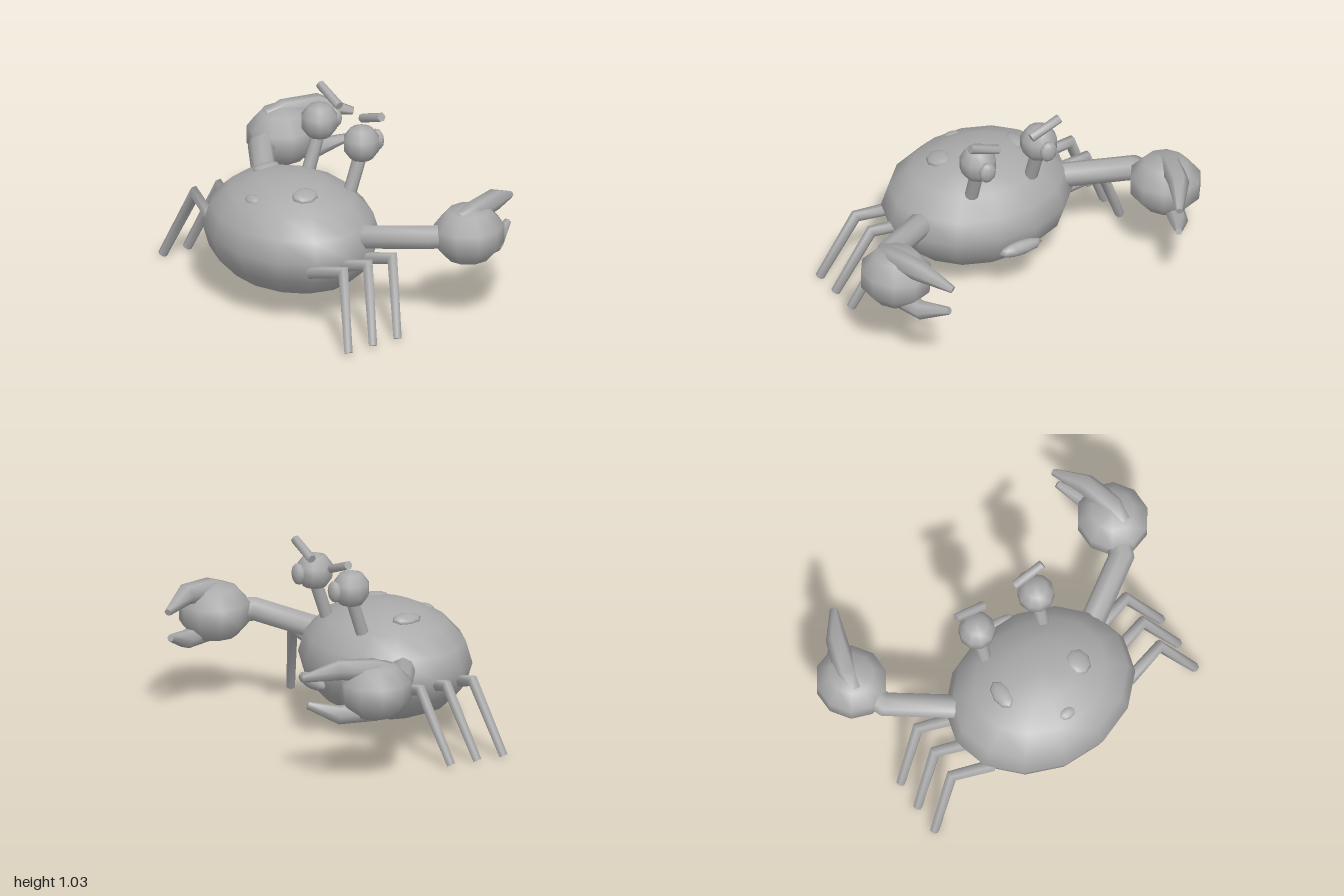
import * as THREE from 'three';

const shell = new THREE.MeshStandardMaterial({ color: 0xaaaaaa });
shell.name = 'shellGrey';

// Faceted ellipsoid with smooth normals
function ball(name, pos, radii, w = 10, h = 5, rot = [0, 0, 0]) {
  const m = new THREE.Mesh(new THREE.SphereGeometry(1, w, h), shell);
  m.name = name;
  m.position.set(...pos);
  m.scale.set(...radii);
  m.rotation.set(...rot);
  return m;
}

// Mitred, capped tube through points, with one radius per point
function limb(name, points, radii, sides = 8) {
  const P = points.map(p => new THREE.Vector3(...p));
  const D = P.slice(1).map((p, i) => p.clone().sub(P[i]).normalize());
  const ref = Math.abs(D[0].y) > 0.9 ? new THREE.Vector3(0, 0, 1) : new THREE.Vector3(0, 1, 0);
  const u = ref.clone().cross(D[0]).normalize();
  const v = D[0].clone().cross(u);
  const pos = [], idx = [], rings = [];
  P.forEach((p, i) => {
    const d = D[Math.max(0, i - 1)];
    if (i > 1) {
      const q = new THREE.Quaternion().setFromUnitVectors(D[i - 2], d);
      u.applyQuaternion(q);
      v.applyQuaternion(q);
    }
    const n = d.clone();
    if (i > 0 && i < D.length) n.add(D[i]).normalize();
    const ring = [];
    for (let k = 0; k < sides; k++) {
      const a = (k / sides) * Math.PI * 2;
      const o = u.clone().multiplyScalar(Math.cos(a) * radii[i]).addScaledVector(v, Math.sin(a) * radii[i]);
      o.addScaledVector(d, -o.dot(n) / d.dot(n));
      ring.push(o.add(p));
    }
    rings.push(ring);
    ring.forEach(o => pos.push(o.x, o.y, o.z));
  });
  for (let i = 0; i < P.length - 1; i++) {
    for (let k = 0; k < sides; k++) {
      const a = i * sides + k, b = i * sides + (k + 1) % sides;
      idx.push(a, b, b + sides, a, b + sides, a + sides);
    }
  }
  // End caps use their own corners so the rims stay sharp
  [0, P.length - 1].forEach((e, end) => {
    const s = pos.length / 3;
    rings[e].forEach(o => pos.push(o.x, o.y, o.z));
    for (let k = 1; k < sides - 1; k++) {
      if (end) idx.push(s, s + k, s + k + 1);
      else idx.push(s, s + k + 1, s + k);
    }
  });
  const g = new THREE.BufferGeometry();
  g.setAttribute('position', new THREE.Float32BufferAttribute(pos, 3));
  g.setIndex(idx);
  g.computeVertexNormals();
  const m = new THREE.Mesh(g, shell);
  m.name = name;
  return m;
}

export function createModel() {
  const crab = new THREE.Group();
  crab.name = 'crab';

  // Shell, mouth and low bumps on the back
  crab.add(
    ball('body', [0, 0.38, 0.25], [0.527, 0.31, 0.431], 14, 8),
    ball('mouth', [0, 0.315, -0.197], [0.13, 0.04, 0.036], 10, 6),
    ball('shellSpot', [-0.235, 0.648, 0.24], [0.05, 0.025, 0.085], 8, 6, [0, 0, 0.25]),
    ball('shellSpot', [0.2, 0.652, 0.31], [0.065, 0.025, 0.075], 8, 6, [0.1, 0, -0.2]),
    ball('shellSpot', [0, 0.612, 0.505], [0.05, 0.02, 0.035], 8, 6, [0.35, 0, 0])
  );

  for (const s of [1, -1]) {
    const side = new THREE.Group();
    side.name = s > 0 ? 'leftSide' : 'rightSide';
    crab.add(side);
    const at = pts => pts.map(([x, y, z]) => [x * s, y, z]);

    // Eye on its stalk, with pupil and slanted brow
    side.add(
      limb('eyeStalk', at([[0.182, 0.6, 0], [0.186, 0.82, -0.075]]), [0.036, 0.036]),
      ball('eyeball', [0.186 * s, 0.853, -0.07], [0.102, 0.102, 0.102]),
      ball('pupil', [0.186 * s, 0.85, -0.17], [0.05, 0.058, 0.032], 10, 6),
      limb('brow', at([[0.1, 0.949, -0.138], [0.272, 1.013, -0.138]]), [0.025, 0.025], 6)
    );

    // Arm, palm and the two pincers
    side.add(
      limb('arm', at([[0.43, 0.445, 0.1], [0.745, 0.5, -0.1], [0.82, 0.5, -0.28]]), [0.066, 0.066, 0.066]),
      ball('palm', [0.823 * s, 0.5, -0.3], [0.192, 0.162, 0.205], 10, 5, [0, Math.PI / 10, 0]),
      limb('upperPincer',
        at([[0.85, 0.6, -0.22], [0.84, 0.62, -0.32], [0.785, 0.632, -0.5], [0.692, 0.583, -0.665]]),
        [0.045, 0.062, 0.056, 0.02], 6),
      limb('lowerPincer',
        at([[0.85, 0.42, -0.22], [0.84, 0.395, -0.32], [0.785, 0.385, -0.5], [0.7, 0.437, -0.643]]),
        [0.045, 0.056, 0.05, 0.02], 6)
    );

    // Three bent walking legs
    [0.08, 0.24, 0.4].forEach(z => side.add(
      limb('leg', at([[0.43, 0.33, z + 0.045], [0.655, 0.395, z - 0.005], [0.82, 0.015, z + 0.083]]),
        [0.034, 0.03, 0.025], 6)
    ));
  }
  return crab;
}
